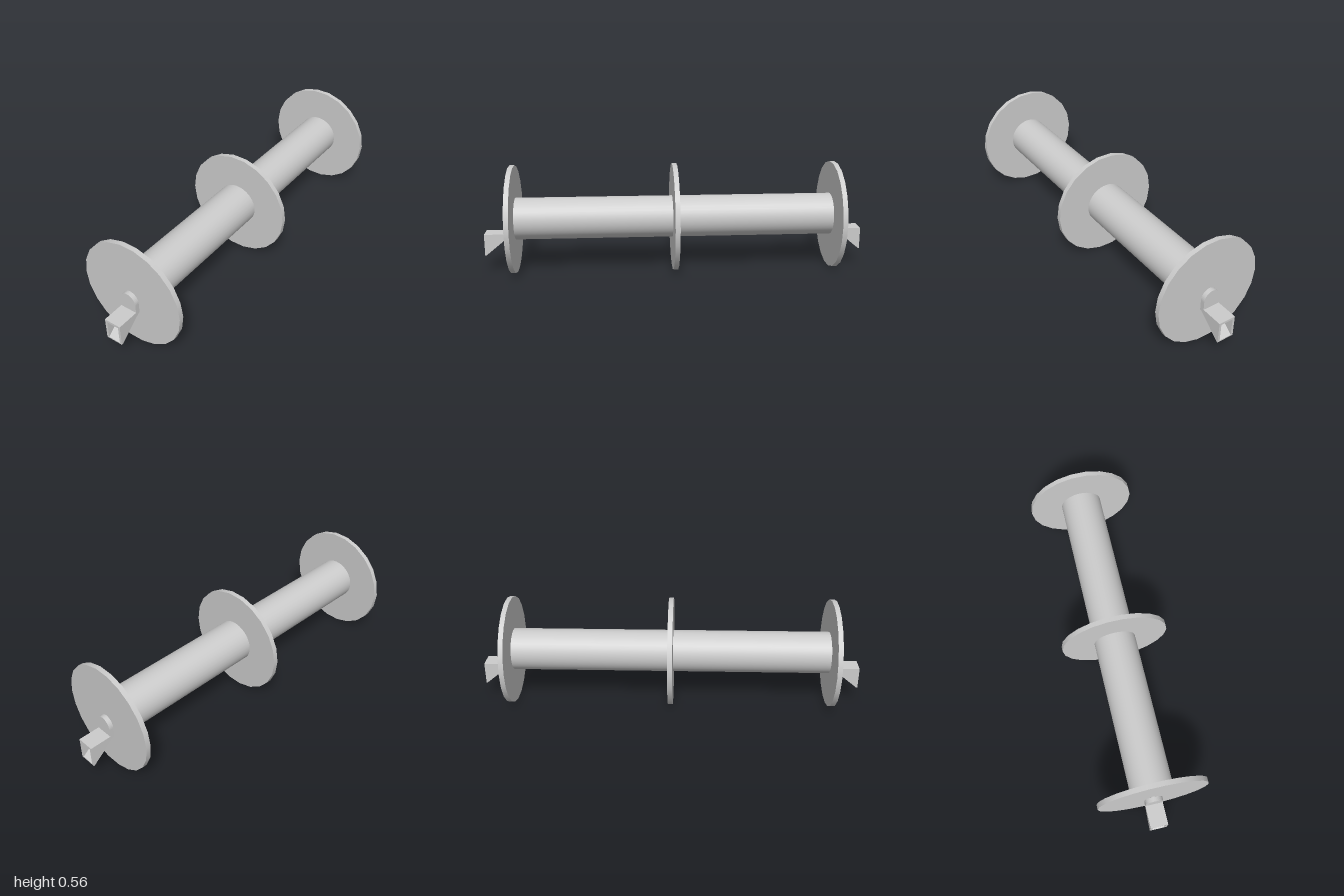
import * as THREE from 'three';

const AXIS_Y = 0.282;
const material = new THREE.MeshStandardMaterial({ color: 0xcccccc });

function add(parent, name, geometry, x = 0, y = 0, z = 0) {
  const mesh = new THREE.Mesh(geometry, material);
  mesh.name = name;
  mesh.position.set(x, y, z);
  parent.add(mesh);
  return mesh;
}

// Cylinder lying along x
function rod(radius, length, sides) {
  return new THREE.CylinderGeometry(radius, radius, length, sides).rotateZ(Math.PI / 2);
}

// Side profile in x/y, extruded along z between z0 and z1
function slab(points, z0, z1) {
  const shape = new THREE.Shape(points.map(([x, y]) => new THREE.Vector2(x, y)));
  return new THREE.ExtrudeGeometry(shape, { depth: z1 - z0, bevelEnabled: false }).translate(0, 0, z0);
}

// Hanger at the +x end: arched plate on a pin, with an open-ended wedge-shaped pocket
function createBracket() {
  const bracket = new THREE.Group();
  const half = 0.045, wall = 0.012, top = 0.212;
  const inner = 0.865, plateEnd = 0.888;

  add(bracket, 'pivotPin', rod(0.014, 0.016, 16), 0.864, AXIS_Y - 0.005);

  const arch = new THREE.Shape();
  arch.moveTo(-half, top - 0.014);
  arch.lineTo(half, top - 0.014);
  arch.lineTo(half, 0.255);
  arch.absellipse(0, 0.255, half, 0.05, 0, Math.PI, false);
  arch.closePath();
  const plate = new THREE.ExtrudeGeometry(arch, { depth: plateEnd - inner, bevelEnabled: false, curveSegments: 10 });
  add(bracket, 'archedPlate', plate.rotateY(Math.PI / 2), inner);

  // Pocket: top plate, two triangular cheeks and a sloping floor
  add(bracket, 'pocketTop', slab([[inner, top - wall], [1, top - wall], [1, top], [inner, top]], -half, half));
  const cheek = [[inner, 0.205], [0.995, 0.099], [1, 0.099], [1, top], [inner, top]];
  for (const z of [-half, half - wall]) add(bracket, 'pocketCheek', slab(cheek, z, z + wall));
  add(bracket, 'pocketFloor', slab([[inner, 0.204], [0.994, 0.098], [1, 0.098], [1, 0.104], [0.874, 0.208]], -half, half));
  return bracket;
}

export function createModel() {
  const model = new THREE.Group();
  model.name = 'spool';

  add(model, 'drum', rod(0.11, 1.68, 36), 0, AXIS_Y + 0.003);

  // Three flanges: both ends and the middle divider
  for (const x of [-0.848, 0, 0.848]) add(model, 'flange', rod(0.284, 0.025, 22), x, AXIS_Y);

  const left = createBracket();
  left.name = 'leftBracket';
  const right = createBracket();
  right.name = 'rightBracket';
  right.rotation.y = Math.PI;
  model.add(left, right);
  return model;
}
